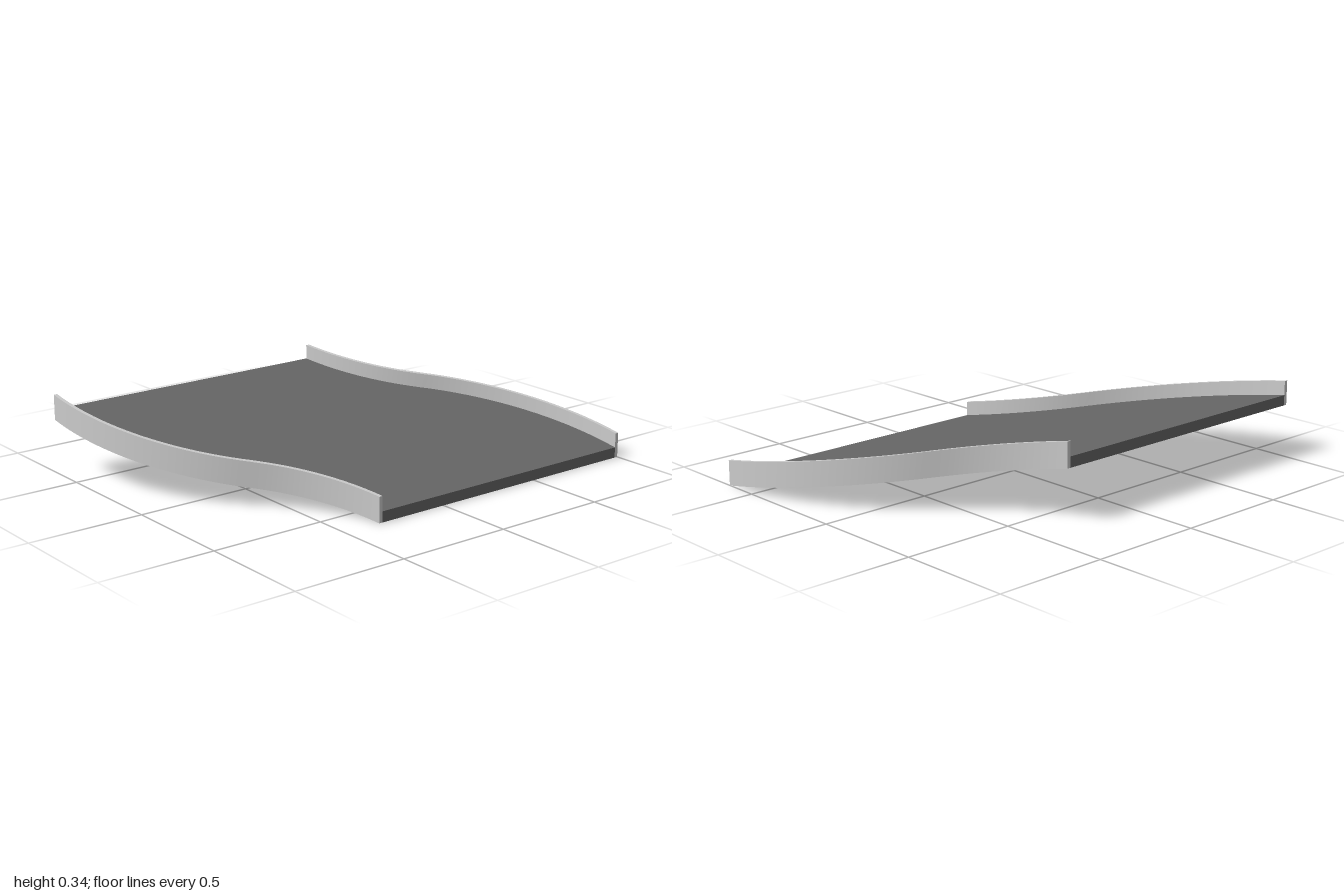
import * as THREE from 'three';
import { toCreasedNormals } from 'three/addons/utils/BufferGeometryUtils.js';

const HALF = 0.655;        // half length along the slope direction
const RAIL = 0.016;        // rail thickness
const DECK_H = 0.046;
const RAIL_H = 0.109;
const STEPS = 48;

// S-shaped back edge: two tangent arcs that meet at x = JOIN
const JOIN = -0.2, R1 = 0.888, R2 = 1.13, START = THREE.MathUtils.degToRad(14);
function backEdge(x) {
  if (x < JOIN) {
    const s = Math.sin(START) + (x + HALF) / R1;
    const c = Math.sqrt(1 - s * s);
    return { z: -0.332 - R1 * (Math.cos(START) - c), cos: c };
  }
  const s = (HALF - x) / R2;
  const c = Math.sqrt(1 - s * s);
  return { z: -1 + R2 * (1 - c), cos: c };
}

const slopeY = (x) => 0.233 * (HALF - x) / (2 * HALF);
const backOuter = (x) => backEdge(x).z;
const backInner = (x) => backEdge(x).z + RAIL / backEdge(x).cos;
// The front edge is the back edge turned half a circle
const frontOuter = (x) => -backOuter(-x);
const frontInner = (x) => -backInner(-x);

// Sweep a rectangular section down the slope between two edge curves
function sweep(name, zBack, zFront, height, color) {
  const pos = [], index = [];
  for (let i = 0; i <= STEPS; i++) {
    const x = -HALF + (2 * HALF * i) / STEPS;
    const y = slopeY(x), b = zBack(x), f = zFront(x);
    pos.push(x, y, f, x, y, b, x, y + height, b, x, y + height, f);
  }
  for (let i = 0; i < STEPS; i++) {
    for (let k = 0; k < 4; k++) {
      const a = i * 4 + k, b = i * 4 + ((k + 1) % 4);
      index.push(a, b, a + 4, b, b + 4, a + 4);
    }
  }
  // End caps
  const e = STEPS * 4;
  index.push(0, 2, 1, 0, 3, 2, e, e + 1, e + 2, e, e + 2, e + 3);

  const geometry = new THREE.BufferGeometry();
  geometry.setAttribute('position', new THREE.Float32BufferAttribute(pos, 3));
  geometry.setIndex(index);
  const mesh = new THREE.Mesh(
    toCreasedNormals(geometry, Math.PI / 6),
    new THREE.MeshStandardMaterial({ color })
  );
  mesh.name = name;
  return mesh;
}

export function createModel() {
  const group = new THREE.Group();
  group.name = 'curvedRamp';
  group.add(
    sweep('deck', backInner, frontInner, DECK_H, 0x666666),
    sweep('backRail', backOuter, backInner, RAIL_H, 0xcccccc),
    sweep('frontRail', frontInner, frontOuter, RAIL_H, 0xcccccc)
  );
  return group;
}
